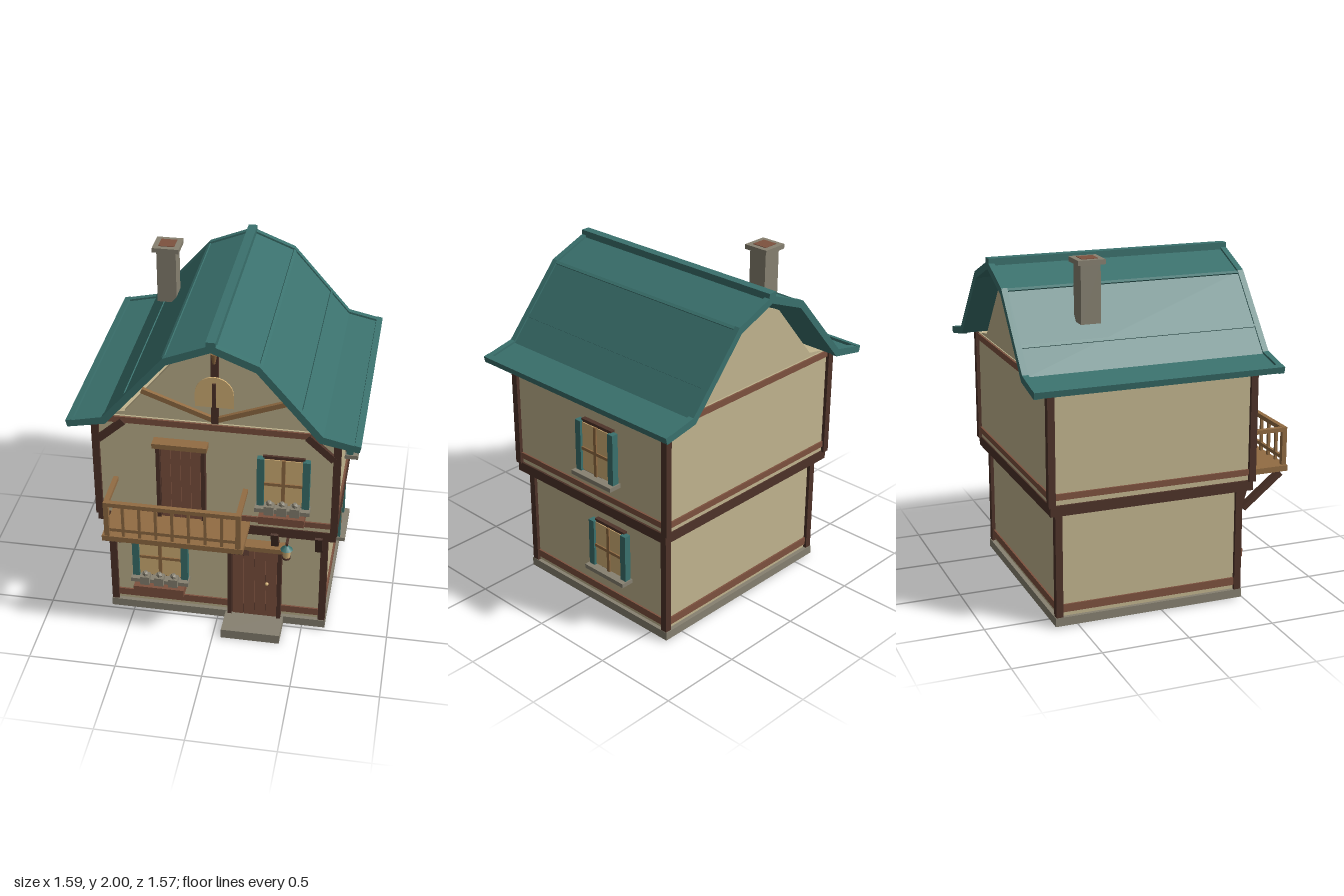
import * as THREE from 'three';

const mat = (name, color) => {
  const m = new THREE.MeshStandardMaterial({ color });
  m.name = name;
  return m;
};

export function createModel() {
  const plaster = mat('plaster', 0xc2b58f), teal = mat('teal', 0x3a716d), dark = mat('dark wood', 0x4e3329),
    red = mat('red wood', 0x7e523f), light = mat('light wood', 0x926c43), stone = mat('stone', 0x878171),
    glow = mat('window glow', 0xd6b378);
  const house = new THREE.Group();
  house.name = 'house';
  const CZ = -0.073; // middle of the house in depth

  const add = (parent, name, geometry, material) => {
    const m = new THREE.Mesh(geometry, material);
    m.name = name;
    parent.add(m);
    return m;
  };
  // Box from its limits
  const box = (parent, name, material, x0, x1, y0, y1, z0, z1) => {
    const m = add(parent, name, new THREE.BoxGeometry(x1 - x0, y1 - y0, z1 - z0), material);
    m.position.set((x0 + x1) / 2, (y0 + y1) / 2, (z0 + z1) / 2);
    return m;
  };
  // Square-cut beam between two points
  const beam = (name, material, a, b, width, depth) => {
    const p = new THREE.Vector3(...a), q = new THREE.Vector3(...b);
    const m = add(house, name, new THREE.BoxGeometry(width, depth, p.distanceTo(q)), material);
    m.position.copy(p).lerp(q, 0.5);
    m.lookAt(q);
    return m;
  };
  // Flat outline pushed from z0 to z1
  const extrude = (parent, name, material, pts, z0, z1) => {
    const shape = new THREE.Shape(pts.map(([x, y]) => new THREE.Vector2(x, y)));
    const m = add(parent, name, new THREE.ExtrudeGeometry(shape, { depth: z1 - z0, bevelEnabled: false }), material);
    m.position.z = z0;
    return m;
  };
  // Closed outline from its right half, listed from the top outwards
  const mirrored = half => [...half.filter(p => p[0] > 0).map(([x, y]) => [-x, y]).reverse(), ...half];

  // Foundation and doorstep
  box(house, 'foundation', stone, -0.635, 0.635, 0.01, 0.06, CZ - 0.56, CZ + 0.56);
  box(house, 'doorstep', stone, 0.05, 0.39, 0, 0.058, 0.47, 0.66);

  // Storeys: walls, corner posts and sill beams
  const storey = (name, hx, hz, y0, y1, rails) => {
    const g = new THREE.Group();
    g.name = name;
    house.add(g);
    box(g, 'wall', plaster, -hx + 0.02, hx - 0.02, y0, y1, CZ - hz + 0.02, CZ + hz - 0.02);
    for (const s of [-1, 1]) for (const t of [-1, 1]) {
      const x = s * (hx - 0.02), z = CZ + t * (hz - 0.02);
      box(g, 'cornerPost', dark, x - 0.02, x + 0.02, y0, y1, z - 0.02, z + 0.02);
    }
    for (const [a, b] of rails)
      box(g, 'railBeam', red, -hx + 0.01, hx - 0.01, a, b, CZ - hz + 0.01, CZ + hz - 0.01);
  };
  storey('lowerStorey', 0.633, 0.555, 0.06, 0.68, [[0.085, 0.13]]);
  storey('upperStorey', 0.686, 0.608, 0.72, 1.38, [[0.757, 0.792], [1.34, 1.377]]);
  box(house, 'floorBand', dark, -0.678, 0.678, 0.668, 0.727, CZ - 0.595, CZ + 0.595);

  // Gable walls
  const gable = mirrored([[0, 1.845], [0.215, 1.75], [0.5, 1.405], [0.66, 1.375]]);
  extrude(house, 'frontGable', plaster, gable, 0.475, 0.505);
  extrude(house, 'backGable', plaster, gable, -0.655, -0.625);

  // Roof shell, edge boards, eave boards, ridge and seams
  const roofOuter = [[0, 1.925], [0.255, 1.823], [0.595, 1.43], [0.785, 1.388]];
  const roofInner = [[0, 1.893], [0.238, 1.797], [0.578, 1.402], [0.785, 1.362]];
  const band = (lift, drop) => [
    ...mirrored(roofOuter.map(([x, y]) => [x, y + lift])),
    ...mirrored(roofInner.map(([x, y]) => [x, y - drop])).reverse()];
  const roof = new THREE.Group();
  roof.name = 'roof';
  house.add(roof);
  extrude(roof, 'roofShell', teal, band(-0.004, 0), -0.755, 0.605);
  extrude(roof, 'frontEdgeBoard', teal, band(0.008, 0.004), 0.603, 0.637);
  extrude(roof, 'backEdgeBoard', teal, band(0.008, 0.004), -0.785, -0.751);
  box(roof, 'ridgeCap', teal, -0.026, 0.026, 1.9, 1.95, -0.785, 0.637);
  for (const s of [-1, 1]) {
    const eave = box(roof, 'eaveBoard', teal, -0.018, 0.018, -0.018, 0.018, -0.785, 0.637);
    eave.position.x = s * 0.775;
    eave.position.y = 1.383;
    eave.rotation.z = -s * 0.21;
    for (const [x, y, a] of [[0.255, 1.817, 0.62], [0.48, 1.558, 0.86]]) {
      const seam = box(roof, 'roofSeam', teal, -0.009, 0.009, -0.007, 0.007, -0.755, 0.605);
      seam.position.x = s * x;
      seam.position.y = y;
      seam.rotation.z = -s * a;
    }
    for (const z of [0.37, 0.075, -0.22, -0.515])
      box(house, 'rafterTail', dark, s * 0.715 - 0.04, s * 0.715 + 0.04, 1.355, 1.385, z - 0.015, z + 0.015);
  }

  // Chimney
  box(house, 'chimneyShaft', stone, -0.482, -0.37, 1.65, 1.975, -0.418, -0.306);
  box(house, 'chimneyCap', stone, -0.503, -0.349, 1.97, 1.997, -0.439, -0.285);
  box(house, 'chimneyOpening', red, -0.472, -0.38, 1.994, 2, -0.408, -0.316);

  // Gable timbers and arched window
  box(house, 'kingPost', dark, -0.02, 0.02, 1.39, 1.86, 0.5, 0.53);
  for (const s of [-1, 1]) {
    beam('gableBrace', light, [0, 1.405, 0.515], [s * 0.4, 1.555, 0.515], 0.025, 0.028);
    beam('cornerBrace', dark, [s * 0.65, 1.225, 0.52], [s * 0.505, 1.355, 0.52], 0.035, 0.04);
  }
  const arch = [[0.105, 1.5]];
  for (let i = 0; i <= 14; i++) {
    const a = Math.PI * i / 14;
    arch.push([0.105 * Math.cos(a), 1.58 + 0.105 * Math.sin(a)]);
  }
  arch.push([-0.105, 1.5]);
  extrude(house, 'archedWindow', glow, arch, 0.531, 0.539);
  box(house, 'archedWindowBar', dark, -0.01, 0.01, 1.5, 1.65, 0.535, 0.548);
  const finial = add(house, 'gableFinial', new THREE.CylinderGeometry(0.018, 0.008, 0.06, 8), light);
  finial.position.set(0, 1.8, 0.54);

  // Shuttered window, built facing +z with its sill at the origin
  const shutteredWindow = (x, y, z, turn, w, h, planter) => {
    const g = new THREE.Group();
    g.name = 'shutteredWindow';
    g.position.set(x, y, z);
    g.rotation.y = turn;
    house.add(g);
    const r = w / 2, d = 0.045;
    box(g, 'windowFrame', dark, -r - 0.008, r + 0.008, 0, h + 0.01, -0.02, 0.01);
    box(g, 'pane', glow, -r, r, 0.005, h - 0.008, 0.008, 0.015);
    box(g, 'uprightBar', light, -0.01, 0.01, 0, h - 0.005, 0.01, 0.024);
    box(g, 'crossBar', light, -r, r, h * 0.46 - 0.009, h * 0.46 + 0.009, 0.01, 0.023);
    for (const s of [-1, 1])
      box(g, 'shutter', teal, s * (r + 0.018) - 0.02, s * (r + 0.018) + 0.02, 0, h, -0.01, 0.03);
    box(g, 'sill', stone, -r - 0.045, r + 0.045, -0.025, 0, -0.02, 0.06);
    if (!planter) return;
    box(g, 'planter', red, -planter, planter, -0.082, -0.034, -0.01, 0.09);
    for (const i of [-1, 0, 1]) {
      const px = i * planter * 0.56;
      box(g, 'flowerPot', stone, px - 0.027, px + 0.027, -0.025, 0.03, 0.03, 0.082);
      const bud = add(g, 'flower', new THREE.IcosahedronGeometry(0.02, 0), stone);
      bud.position.set(px, 0.04, 0.055);
    }
  };
  shutteredWindow(0.379, 0.895, 0.52, 0, 0.215, 0.308, 0.127);
  shutteredWindow(-0.333, 0.27, 0.475, 0, 0.25, 0.293, 0.148);
  shutteredWindow(0.684, 0.9, -0.163, Math.PI / 2, 0.215, 0.305, 0);
  shutteredWindow(0.63, 0.275, -0.193, Math.PI / 2, 0.215, 0.288, 0);

  // Plank door with frame and lintel
  const door = (name, x0, x1, y0, y1, z) => {
    const g = new THREE.Group();
    g.name = name;
    house.add(g);
    box(g, 'doorFrame', dark, x0, x1, y0, y1, z - 0.03, z + 0.012);
    const n = 4, w = (x1 - x0 - 0.05) / n;
    for (let i = 0; i < n; i++)
      box(g, 'plank', red, x0 + 0.025 + i * w + 0.001, x0 + 0.025 + (i + 1) * w - 0.001, y0, y1 - 0.015, z, z + 0.022);
    for (const x of [x0, x1 - 0.022]) box(g, 'jamb', dark, x, x + 0.022, y0, y1, z, z + 0.035);
    box(g, 'lintel', light, x0 - 0.015, x1 + 0.015, y1 - 0.005, y1 + 0.025, z - 0.02, z + 0.06);
  };
  door('frontDoor', 0.065, 0.375, 0.06, 0.56, 0.475);
  door('balconyDoor', -0.325, -0.052, 0.75, 1.235, 0.525);
  const knob = add(house, 'doorKnob', new THREE.SphereGeometry(0.011, 10, 8), glow);
  knob.position.set(0.293, 0.305, 0.505);

  // Balcony
  box(house, 'balconyDeck', light, -0.592, 0.195, 0.722, 0.755, 0.5, 0.783);
  box(house, 'frontHandrail', light, -0.577, 0.182, 0.952, 0.977, 0.752, 0.78);
  box(house, 'lowerRail', light, -0.57, 0.175, 0.785, 0.805, 0.758, 0.774);
  for (const x of [-0.563, 0.168]) {
    box(house, 'balconyPost', light, x - 0.014, x + 0.014, 0.75, 0.96, 0.752, 0.78);
    box(house, 'sideHandrail', light, x - 0.014, x + 0.014, 0.953, 0.976, 0.52, 0.755);
    beam('balconyBrace', dark, [x, 0.71, 0.745], [x, 0.525, 0.515], 0.045, 0.03);
  }
  for (let i = 1; i < 8; i++) {
    const x = -0.563 + i * 0.0914;
    box(house, 'baluster', light, x - 0.008, x + 0.008, 0.75, 0.96, 0.758, 0.774);
  }

  // Corbels under the overhang
  for (const x of [-0.585, -0.37, 0.033, 0.335, 0.585])
    beam('corbel', dark, [x, 0.69, 0.52], [x, 0.575, 0.482], 0.042, 0.035);

  // Hanging lantern
  const lantern = new THREE.Group();
  lantern.name = 'lantern';
  lantern.position.set(0.41, 0, 0.565);
  house.add(lantern);
  const turned = (name, m, r0, r1, y0, y1) => {
    add(lantern, name, new THREE.CylinderGeometry(r1, r0, y1 - y0, 8), m).position.y = (y0 + y1) / 2;
  };
  box(lantern, 'lanternArm', dark, -0.007, 0.007, 0.652, 0.666, -0.1, 0.008);
  turned('lanternHook', dark, 0.005, 0.005, 0.64, 0.66);
  turned('lanternCap', teal, 0.036, 0.01, 0.62, 0.645);
  turned('lanternGlass', glow, 0.02, 0.024, 0.568, 0.62);
  turned('lanternBase', dark, 0.024, 0.024, 0.557, 0.568);
  return house;
}
